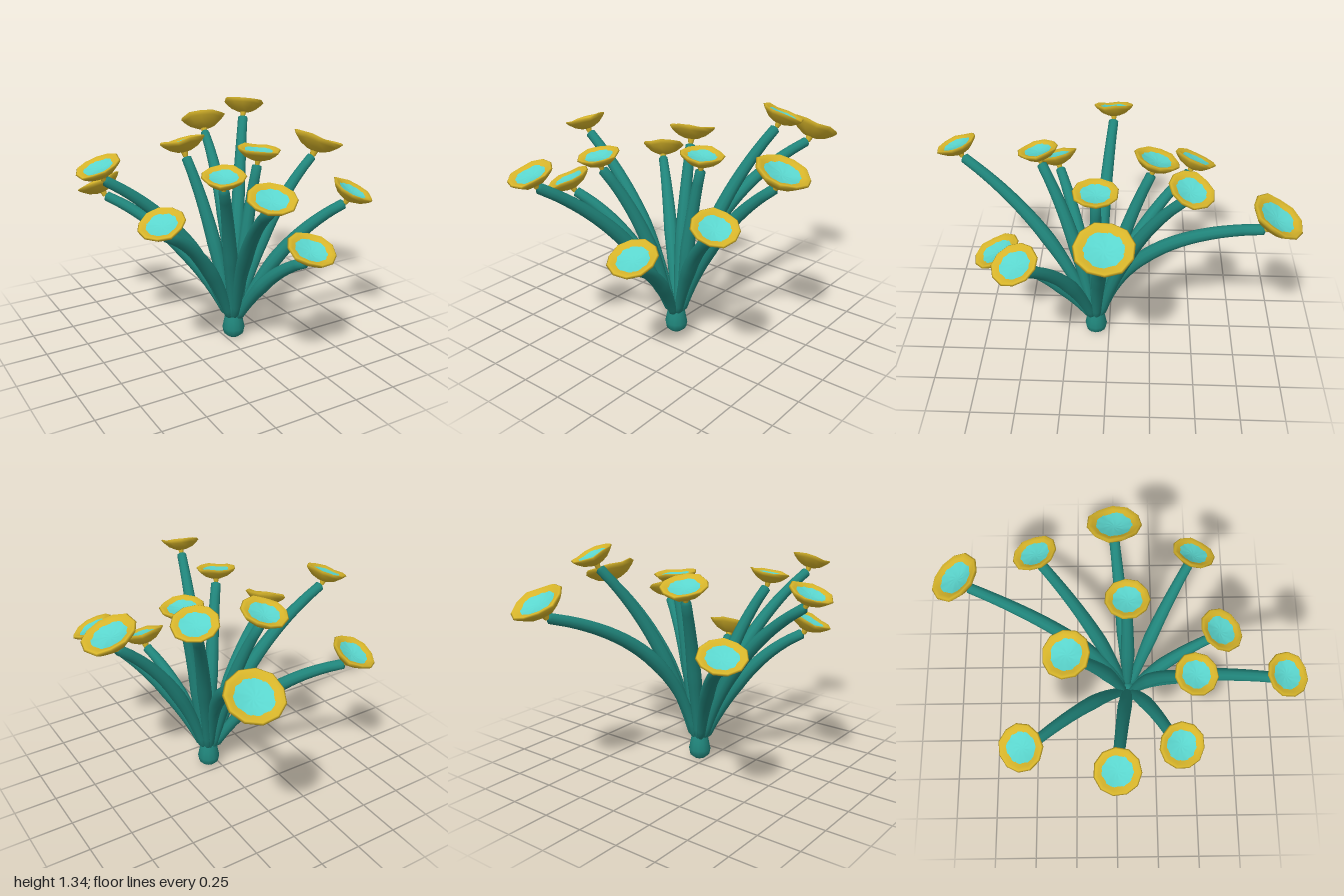
import * as THREE from 'three';
import { mergeVertices } from 'three/addons/utils/BufferGeometryUtils.js';

const mat = (name, color, side = THREE.FrontSide) => {
  const m = new THREE.MeshStandardMaterial({ color, side });
  m.name = name;
  return m;
};

// Weld seams so shading stays smooth
function smooth(geo) {
  geo.deleteAttribute('uv');
  geo.deleteAttribute('normal');
  const g = mergeVertices(geo, 1e-5);
  g.computeVertexNormals();
  return g;
}

// Lathe whose rim gently waves; wave(radius, angle) returns the change in height
function wavyLathe(points, segments, wave) {
  const g = new THREE.LatheGeometry(points.map(([x, y]) => new THREE.Vector2(x, y)), segments);
  const p = g.attributes.position;
  for (let i = 0; i < p.count; i++) {
    const x = p.getX(i), z = p.getZ(i);
    p.setY(i, p.getY(i) + wave(Math.hypot(x, z), Math.atan2(z, x)));
  }
  return smooth(g);
}

// Curved stalk, thickest in its middle, with closed rounded ends
function stemGeometry(path) {
  const rings = 22, sides = 10;
  const g = new THREE.TubeGeometry(path, rings, 1, sides, false);
  const p = g.attributes.position, v = new THREE.Vector3();
  for (let i = 0; i < p.count; i++) {
    const k = Math.floor(i / (sides + 1)), u = k / rings;
    const old = path.getPointAt(u);
    let t = u;
    if (k === rings - 1) t = 0.988;
    let r = u < 0.45
      ? THREE.MathUtils.lerp(0.024, 0.042, u / 0.45)
      : THREE.MathUtils.lerp(0.042, 0.028, (u - 0.45) / 0.55);
    if (k === 0 || k === rings) r = 0.0005;
    v.fromBufferAttribute(p, i).sub(old).multiplyScalar(r).add(path.getPointAt(t));
    p.setXYZ(i, v.x, v.y, v.z);
  }
  return smooth(g);
}

export function createModel() {
  const group = new THREE.Group();
  const green = mat('stemTeal', 0x20857b);
  const yellow = mat('petalYellow', 0xd6b42a, THREE.DoubleSide);
  const cyan = mat('centreCyan', 0x5ad5cd, THREE.DoubleSide);

  const add = (parent, geo, material, name) => {
    const m = new THREE.Mesh(geo, material);
    m.name = name;
    parent.add(m);
    return m;
  };

  // Rounded root
  const rootX = 0.053, rootZ = 0.08;
  const root = add(group, smooth(new THREE.LatheGeometry([
    [0, 0], [0.035, 0.003], [0.06, 0.025], [0.066, 0.06], [0.058, 0.1], [0.05, 0.14], [0.035, 0.17], [0, 0.18],
  ].map(([x, y]) => new THREE.Vector2(x, y)), 12)), green, 'root');
  root.position.set(rootX, 0, rootZ);

  // Flower head of unit radius, rim at y = 0
  const wave = (r, a) => r * r * (0.035 * Math.sin(3 * a + 1) + 0.025 * Math.sin(5 * a));
  const cupGeo = wavyLathe([
    [0, -0.54], [0.3, -0.5], [0.62, -0.36], [0.88, -0.14], [1, 0], [0.94, 0.05], [0.8, 0.01], [0.64, -0.05],
  ], 11, wave);
  const discGeo = wavyLathe([[0.66, -0.04], [0.4, -0.1], [0.18, -0.13], [0, -0.14]], 20,
    (r, a) => wave(r, a) + (r < 0.6 ? 0.05 * r * Math.cos(10 * a) : 0));
  const nubGeo = new THREE.CylinderGeometry(0.16, 0.1, 0.24, 8).translate(0, -0.61, 0);

  // Each flower: rim centre x, y, z, radius, tilt in x, tilt in z, stem bend (out, up)
  const flowers = [
    [0.37, 1.11, -0.87, 0.150, 0.15, -0.53, 0.15, 0.77],
    [-0.53, 0.90, -0.51, 0.132, -0.30, -0.40, 0.33, 0.75],
    [0.415, 1.29, -0.42, 0.122, 0.28, -0.32, 0.3, 0.62],
    [-0.10, 1.15, -0.26, 0.135, -0.10, -0.28, 0.35, 0.6],
    [-0.72, 1.15, 0.00, 0.122, -0.37, 0.02, 0.27, 0.66],
    [0.22, 1.13, 0.065, 0.125, 0.10, 0.00, 0.35, 0.6],
    [0.685, 1.12, 0.00, 0.155, 0.39, 0.00, 0.29, 0.66],
    [-0.53, 0.91, 0.345, 0.127, -0.36, 0.25, 0.37, 0.75],
    [-0.21, 1.13, 0.415, 0.118, -0.10, 0.18, 0.3, 0.62],
    [0.595, 0.94, 0.455, 0.126, 0.40, 0.30, 0.35, 0.7],
    [0.205, 0.72, 0.62, 0.138, 0.06, 0.42, 0.42, 0.75],
    [-0.225, 1.15, 0.88, 0.120, -0.12, 0.36, 0.27, 0.65],
  ];
  const up = new THREE.Vector3(0, 1, 0);
  flowers.forEach(([x, y, z, r, tx, tz, out, rise], i) => {
    const normal = new THREE.Vector3(tx, 1, tz).normalize();
    const centre = new THREE.Vector3(x, y, z);

    const flower = new THREE.Group();
    flower.name = 'flower' + (i + 1);
    flower.position.copy(centre);
    flower.quaternion.setFromUnitVectors(up, normal).multiply(
      new THREE.Quaternion().setFromAxisAngle(up, i * 1.7));
    flower.scale.setScalar(r);
    add(flower, cupGeo, yellow, 'petalCup');
    add(flower, discGeo, cyan, 'flowerCentre');
    add(flower, nubGeo, yellow, 'flowerBase');
    group.add(flower);

    // Stem rises from the root, then bends outward to the flower base
    const tip = centre.clone().addScaledVector(normal, -0.7 * r);
    const dir = new THREE.Vector3(x - rootX, 0, z - rootZ).normalize();
    const start = new THREE.Vector3(rootX, 0.12, rootZ).addScaledVector(dir, 0.032);
    const bend = new THREE.Vector3(
      THREE.MathUtils.lerp(start.x, tip.x, out),
      THREE.MathUtils.lerp(start.y, tip.y, rise),
      THREE.MathUtils.lerp(start.z, tip.z, out));
    add(group, stemGeometry(new THREE.QuadraticBezierCurve3(start, bend, tip)), green, 'stem' + (i + 1));
  });
  return group;
}
